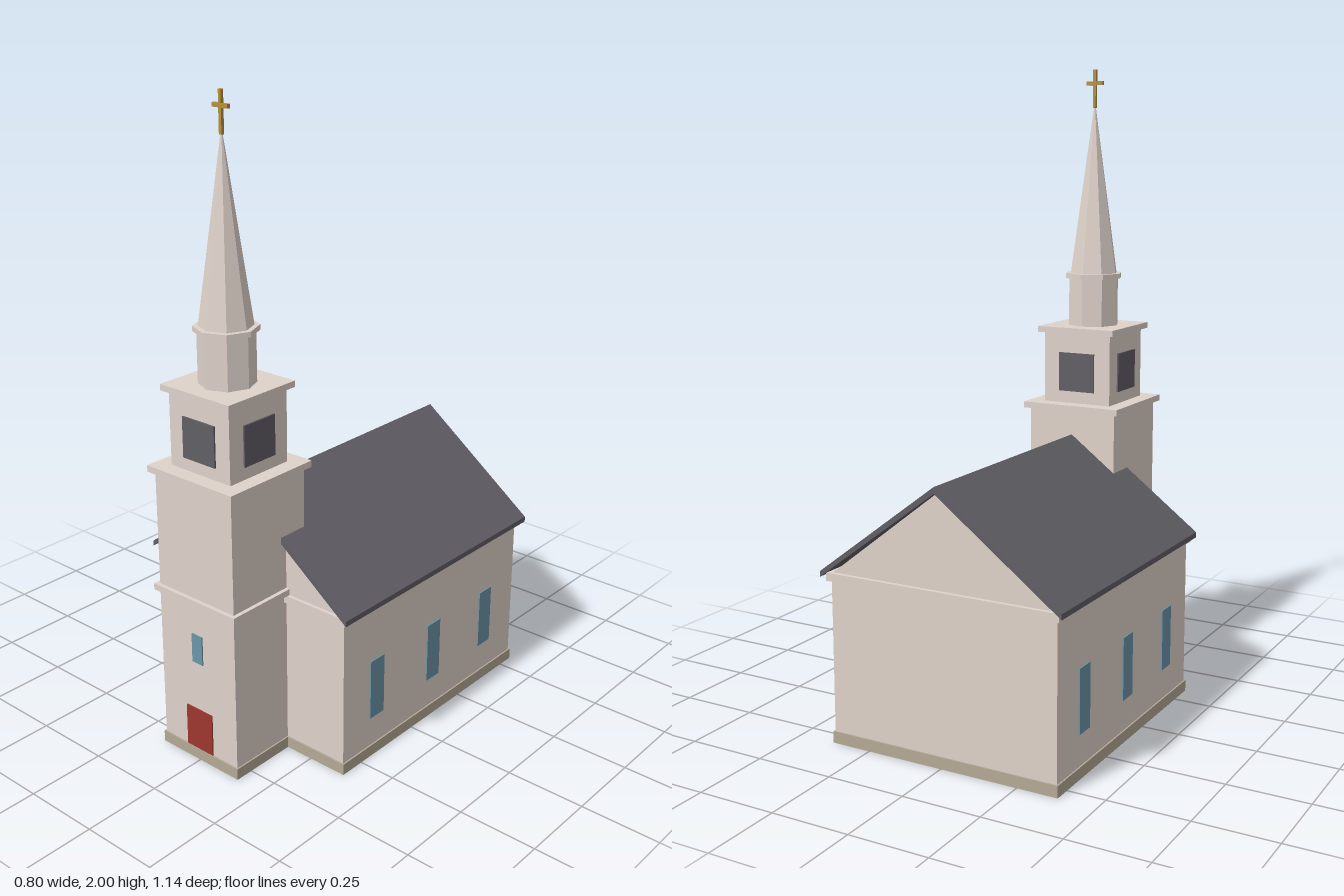
import * as THREE from 'three';

function material(name, color) {
  const m = new THREE.MeshStandardMaterial({ color });
  m.name = name;
  return m;
}

export function createModel() {
  const wall = material('wall', 0xdfd3ca);
  const stone = material('stone', 0xb5a996);
  const slate = material('slate', 0x615f65);
  const glass = material('glass', 0x6a95a8);
  const doorRed = material('doorRed', 0x9e3730);
  const gold = material('gold', 0xb8903f);

  const church = new THREE.Group();
  church.name = 'church';
  const TZ = 0.402; // tower axis

  function add(name, geometry, mat, x = 0, y = 0, z = 0, parent = church) {
    const mesh = new THREE.Mesh(geometry, mat);
    mesh.name = name;
    mesh.position.set(x, y, z);
    parent.add(mesh);
    return mesh;
  }

  // Box given by half width, bottom, top, back and front
  function block(name, mat, hx, y0, y1, z0, z1) {
    return add(name, new THREE.BoxGeometry(hx * 2, y1 - y0, z1 - z0), mat, 0, (y0 + y1) / 2, (z0 + z1) / 2);
  }

  // Shape in the xy plane swept from z0 to z1
  function sweep(name, mat, points, z0, z1) {
    const shape = new THREE.Shape(points.map(([x, y]) => new THREE.Vector2(x, y)));
    return add(name, new THREE.ExtrudeGeometry(shape, { depth: z1 - z0, bevelEnabled: false }), mat, 0, 0, z0);
  }

  // Octagonal tier with crisp faces
  function octagon(name, rTop, rBottom, y0, y1) {
    const g = new THREE.CylinderGeometry(rTop, rBottom, y1 - y0, 8).toNonIndexed();
    g.computeVertexNormals();
    return add(name, g, wall, 0, (y0 + y1) / 2, TZ);
  }

  // Plinth ring with a recessed floor
  function plinth(name, hx, z0, z1) {
    const hz = (z1 - z0) / 2, t = 0.008;
    const rect = (path, a, b) => path.moveTo(-a, -b).lineTo(a, -b).lineTo(a, b).lineTo(-a, b).closePath();
    const shape = rect(new THREE.Shape(), hx, hz);
    shape.holes.push(rect(new THREE.Path(), hx - t, hz - t));
    const g = new THREE.ExtrudeGeometry(shape, { depth: 0.036, bevelEnabled: false });
    g.rotateX(-Math.PI / 2);
    add(name, g, stone, 0, 0, (z0 + z1) / 2);
    block(name + 'Floor', stone, hx - t, 0.026, 0.034, z0 + t, z1 - t);
  }

  // Nave
  plinth('navePlinth', 0.38, -0.555, 0.335);
  block('naveWalls', wall, 0.375, 0.03, 0.51, -0.55, 0.33);
  block('naveCornice', wall, 0.386, 0.505, 0.53, -0.563, 0.341);
  sweep('gables', wall, [[-0.375, 0.525], [0.375, 0.525], [0, 0.815]], -0.55, 0.33);
  sweep('naveRoof', slate, [
    [-0.4, 0.518], [0, 0.815], [0.4, 0.518], [0.4, 0.535], [0, 0.835], [-0.4, 0.535],
  ], -0.573, 0.352);

  // Side windows
  for (const side of [-1, 1]) {
    for (const z of [0.175, -0.108, -0.39]) {
      add('sideWindow', new THREE.BoxGeometry(0.006, 0.196, 0.064), glass, side * 0.376, 0.231, z);
    }
  }

  // Tower tiers: name, half width, bottom, top
  plinth('towerPlinth', 0.157, TZ - 0.157, TZ + 0.157);
  for (const [name, h, y0, y1] of [
    ['towerShaft', 0.152, 0.03, 0.92],
    ['towerBand', 0.165, 0.53, 0.55],
    ['towerCornice', 0.168, 0.912, 0.932],
    ['belfry', 0.118, 0.93, 1.17],
    ['belfryCornice', 0.135, 1.161, 1.18],
  ]) block(name, wall, h, y0, y1, TZ - h, TZ + h);

  // Belfry openings on all four sides
  for (let i = 0; i < 4; i++) {
    const pivot = new THREE.Group();
    pivot.name = 'belfryOpening';
    pivot.position.z = TZ;
    pivot.rotation.y = i * Math.PI / 2;
    add('louvre', new THREE.BoxGeometry(0.126, 0.126, 0.008), slate, 0, 1.034, 0.119, pivot);
    church.add(pivot);
  }

  // Door and window on the tower front
  add('door', new THREE.BoxGeometry(0.106, 0.138, 0.006), doorRed, 0, 0.106, TZ + 0.153);
  add('towerWindow', new THREE.BoxGeometry(0.042, 0.094, 0.006), glass, 0, 0.383, TZ + 0.153);

  // Lantern and spire
  octagon('lantern', 0.084, 0.084, 1.178, 1.34);
  octagon('lanternCornice', 0.095, 0.095, 1.334, 1.35);
  octagon('spire', 0.002, 0.079, 1.35, 1.89);

  // Cross
  add('crossPost', new THREE.BoxGeometry(0.01, 0.12, 0.01), gold, 0, 1.94, TZ);
  add('crossBar', new THREE.BoxGeometry(0.058, 0.012, 0.011), gold, 0, 1.957, TZ);

  return church;
}
